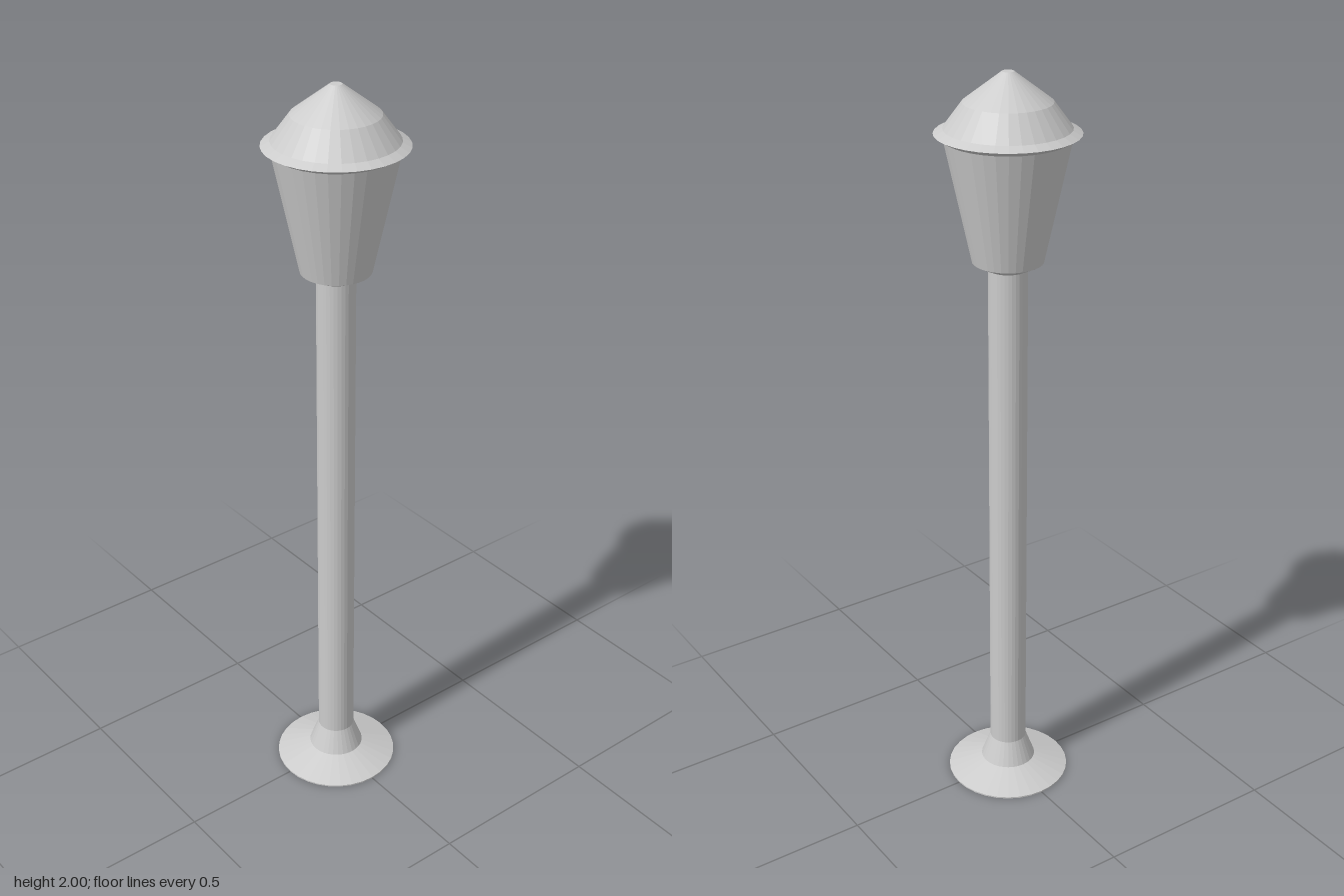
import * as THREE from 'three';

const SIDES = 32;

// Turned part from [radius, height] pairs, listed bottom to top
function turned(name, profile) {
  const points = profile.map(([r, y]) => new THREE.Vector2(r, y));
  const material = new THREE.MeshStandardMaterial({ color: 0xcccccc, flatShading: true });
  const mesh = new THREE.Mesh(new THREE.LatheGeometry(points, SIDES), material);
  mesh.name = name;
  return mesh;
}

export function createModel() {
  const group = new THREE.Group();
  group.name = 'streetLamp';
  group.add(
    // Wide foot with a closed underside, flaring into the pole
    turned('foot', [[0, 0], [0.168, 0], [0.168, 0.004], [0.075, 0.037], [0.05, 0.105]]),
    turned('pole', [[0.05, 0.105], [0.05, 1.51]]),
    // Small cup under the lantern
    turned('collar', [[0.05, 1.51], [0.09, 1.53]]),
    // Lantern body widening upwards
    turned('lantern', [[0.09, 1.53], [0.157, 1.84]]),
    // Overhanging rim and stepped cone with a flat tip
    turned('roof', [[0.157, 1.84], [0.18, 1.853], [0.157, 1.865], [0.11, 1.928], [0.015, 2], [0, 2]]),
  );
  return group;
}
